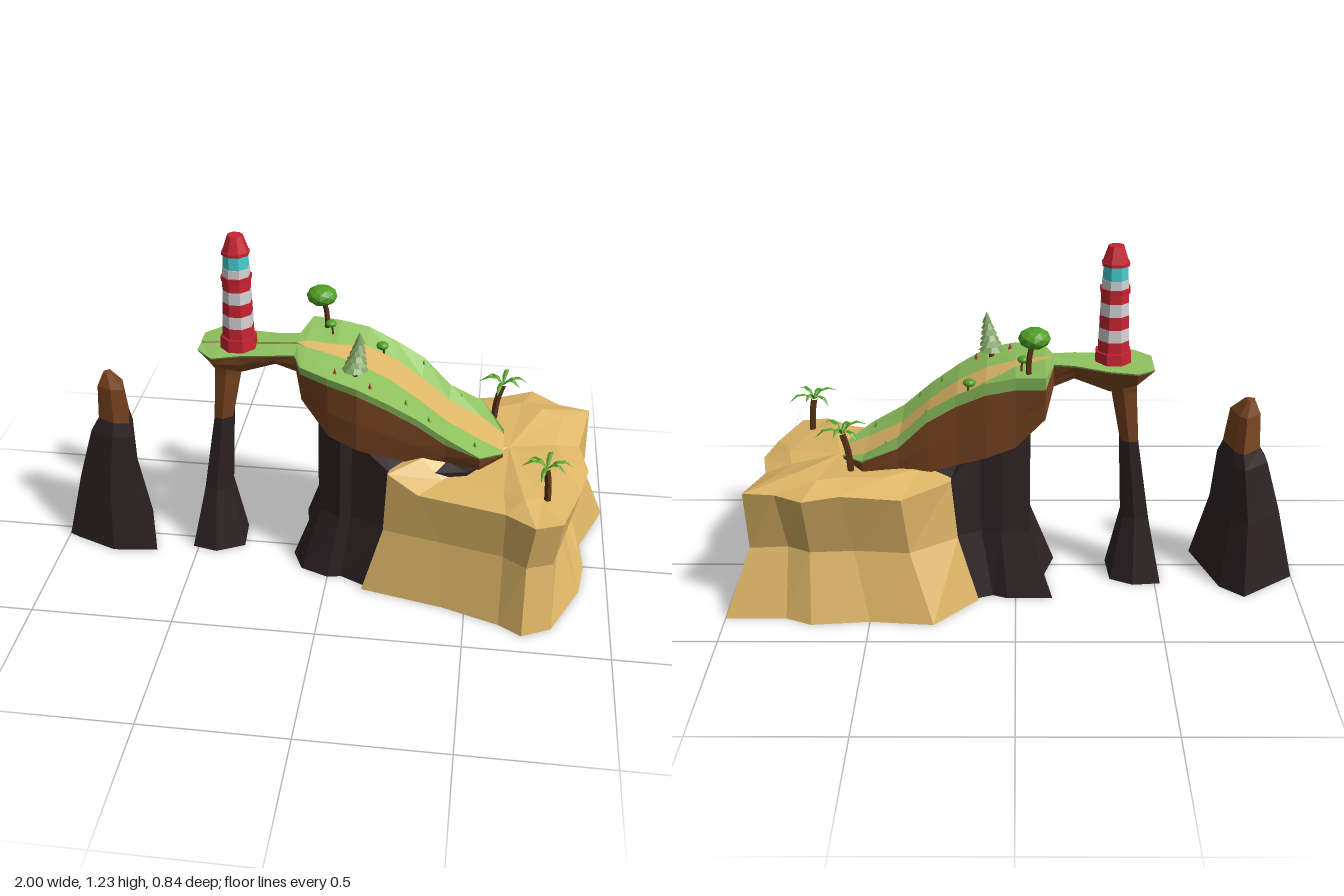
import * as THREE from 'three';

const mat = (name, color, side = THREE.FrontSide) =>
  Object.assign(new THREE.MeshStandardMaterial({ color, flatShading: true, side }), { name });
const D = THREE.DoubleSide;
const M = {
  sand: mat('sand', 0xdeb667, D), grass: mat('grass', 0x8fc25f, D),
  brown: mat('brown rock', 0x7a4521, D), dark: mat('dark rock', 0x2d2224, D),
  red: mat('red paint', 0xc92432), white: mat('white paint', 0xd4d4d6),
  glass: mat('lantern glass', 0x45cdd2), leaf: mat('leaf green', 0x4f9e22, D),
  pine: mat('pine green', 0x7d9f5f), bark: mat('bark', 0x5a3417),
};

const mesh = (name, geo, material, x = 0, y = 0, z = 0) => {
  const m = new THREE.Mesh(geo, material);
  m.name = name;
  m.position.set(x, y, z);
  return m;
};

// Surface through rows of [x, y, z] points; optionally closed around, with fan caps
function loft(rows, { closed = false, start = false, end = false } = {}) {
  const pos = [];
  const tri = (...pts) => pts.forEach((p) => pos.push(...p));
  const n = rows[0].length;
  for (let i = 0; i < rows.length - 1; i++) {
    for (let j = 0; j < (closed ? n : n - 1); j++) {
      const k = (j + 1) % n, a = rows[i], b = rows[i + 1];
      tri(a[j], a[k], b[k]);
      tri(a[j], b[k], b[j]);
    }
  }
  const cap = (r, flip) => {
    const c = [0, 1, 2].map((d) => r.reduce((s, p) => s + p[d], 0) / n);
    r.forEach((p, j) => (flip ? tri(c, r[(j + 1) % n], p) : tri(c, p, r[(j + 1) % n])));
  };
  if (start) cap(rows[0], true);
  if (end) cap(rows[rows.length - 1], false);
  const g = new THREE.BufferGeometry();
  g.setAttribute('position', new THREE.Float32BufferAttribute(pos, 3));
  g.computeVertexNormals();
  return g;
}

// Rock column: one outline scaled about a drifting centre; dark below, brown above, open underneath
function rockColumn(name, outline, [ox, oz], levels, split) {
  const g = new THREE.Group();
  g.name = name;
  const rows = levels.map(([y, cx, sx, sz]) =>
    outline.map(([x, z]) => [cx + (x - ox) * sx, y, oz + (z - oz) * sz]));
  g.add(mesh('lowerRock', loft(rows.slice(0, split + 1), { closed: true }), M.dark));
  g.add(mesh('upperRock', loft(rows.slice(split), { closed: true, end: true }), M.brown));
  return g;
}

// Ridge stations: x, back z, front z, back y, middle y, front y, underside y, path back z, path front z
const RIDGE = [
  [-0.47, -0.10, 0.03, 0.82, 0.82, 0.82, 0.80, -0.03, -0.03],
  [-0.41, -0.15, 0.09, 0.825, 0.825, 0.82, 0.77, -0.03, -0.03],
  [-0.32, -0.13, 0.06, 0.825, 0.825, 0.82, 0.74, -0.03, -0.03],
  [-0.20, -0.10, 0.05, 0.835, 0.835, 0.825, 0.775, -0.03, -0.03],
  [-0.13, -0.10, 0.04, 0.84, 0.84, 0.825, 0.745, -0.03, -0.03],
  [-0.10, -0.23, 0.12, 0.845, 0.84, 0.825, 0.68, -0.05, -0.01],
  [0.00, -0.22, 0.17, 0.84, 0.82, 0.815, 0.57, -0.07, 0.00],
  [0.10, -0.22, 0.185, 0.82, 0.79, 0.79, 0.53, -0.13, 0.01],
  [0.20, -0.21, 0.17, 0.775, 0.74, 0.735, 0.50, -0.14, 0.01],
  [0.30, -0.21, 0.15, 0.715, 0.67, 0.67, 0.47, -0.14, 0.01],
  [0.40, -0.20, 0.13, 0.615, 0.585, 0.59, 0.46, -0.14, 0.00],
  [0.52, -0.23, 0.13, 0.54, 0.525, 0.52, 0.45, -0.14, 0.01],
  [0.60, -0.10, 0.04, 0.50, 0.49, 0.49, 0.45, -0.09, 0.02],
];

function ridge() {
  const g = new THREE.Group();
  g.name = 'ridge';
  const back = [], path = [], front = [], rock = [];
  for (const [x, zb, zf, yb, ym, yf, yu, pb, pf] of RIDGE) {
    const P = [x, ym, pb], Q = [x, ym - 0.004, pf];
    // turf lip hanging over each edge
    const wide = x > -0.11 && x < 0.45;
    const B = [x, yb - (wide ? 0.045 : 0.008), zb + 0.006], F = [x, yf - (wide ? 0.03 : 0.008), zf - 0.006];
    back.push([B, [x, yb, zb], P]);
    path.push([P, Q]);
    front.push([Q, [x, yf, zf], F]);
    // overhanging flank, undercut towards the bottom
    const w = yu + (F[1] - yu) * 0.5, wb = yu + (B[1] - yu) * 0.5, inset = 0.035;
    rock.push([B, [x, wb, zb + 0.02], [x, yu, zb + inset], [x, yu, zf - inset], [x, w, zf - 0.015], F]);
  }
  g.add(mesh('backGrass', loft(back), M.grass), mesh('frontGrass', loft(front), M.grass));
  g.add(mesh('sandPath', loft(path.slice(4)), M.sand));
  g.add(mesh('brownFlanks', loft(rock, { start: true, end: true }), M.brown));
  return g;
}

// Ribbed dark rock under the ridge, open underneath
function headland() {
  const base = [[-0.13, -0.23], [-0.10, -0.08], [-0.14, 0.05], [-0.10, 0.14], [0, 0.18], [0.05, 0.17], [0.15, 0.22],
    [0.52, 0.20], [0.70, 0], [0.55, -0.22], [0.15, -0.235], [0.08, -0.21], [0.03, -0.23]];
  const waist = [[-0.05, -0.18], [-0.03, -0.07], [-0.05, 0.03], [-0.03, 0.10], [0.04, 0.14], [0.08, 0.13], [0.22, 0.185],
    [0.48, 0.14], [0.60, 0], [0.48, -0.18], [0.22, -0.215], [0.12, -0.17], [0.05, -0.19]];
  const rows = [base.map(([x, z]) => [x, 0, z]), waist.map(([x, z]) => [x, 0.24, z]),
    waist.map(([x, z]) => [x, x < 0 ? 0.63 : x < 0.15 ? 0.56 : 0.46, z * 0.93])];
  return mesh('darkHeadland', loft(rows, { closed: true, end: true }), M.dark);
}

function beach() {
  // base x, z | waist x, z | rim x, z, y
  const pts = [
    [0.13, 0.235, 0.20, 0.20, 0.21, 0.185, 0.465], [0.42, 0.30, 0.40, 0.245, 0.32, 0.235, 0.42],
    [0.62, 0.37, 0.62, 0.30, 0.62, 0.31, 0.42], [0.70, 0.42, 0.70, 0.355, 0.72, 0.38, 0.42],
    [0.80, 0.37, 0.79, 0.32, 0.81, 0.35, 0.425], [0.90, 0.15, 0.81, 0.15, 0.87, 0.16, 0.43],
    [0.92, 0, 0.81, -0.08, 0.90, 0.02, 0.43], [0.91, -0.13, 0.84, -0.12, 0.87, -0.12, 0.44],
    [1.00, -0.36, 0.91, -0.29, 0.91, -0.33, 0.47], [0.79, -0.36, 0.78, -0.28, 0.80, -0.35, 0.475],
    [0.70, -0.40, 0.70, -0.32, 0.70, -0.42, 0.485], [0.50, -0.38, 0.55, -0.31, 0.58, -0.37, 0.48],
    [0.28, -0.40, 0.36, -0.325, 0.38, -0.36, 0.46], [0.13, -0.24, 0.20, -0.22, 0.22, -0.22, 0.46],
  ];
  const rim = pts.map((p) => [p[4], p[6], p[5]]);
  const inner = rim.map(([x, y, z], i) =>
    [0.58 + (x - 0.58) * 0.7, y + (i % 3 ? 0.02 : 0.035), -0.02 + (z + 0.02) * 0.7]);
  const g = new THREE.Group();
  g.name = 'beach';
  const walls = [pts.map((p) => [p[0], 0, p[1]]), pts.map((p) => [p[2], 0.24, p[3]]), rim];
  g.add(mesh('sandCliff', loft(walls), M.sand));
  g.add(mesh('sandTop', loft([rim, inner], { closed: true, end: true }), M.sand));
  return g;
}

function lighthouse() {
  const g = new THREE.Group();
  g.name = 'lighthouse';
  const part = (name, m, y0, y1, r0, r1) => {
    const p = mesh(name, new THREE.CylinderGeometry(r1, r0, y1 - y0, 8), m, 0, (y0 + y1) / 2, 0);
    p.rotation.y = Math.PI / 8;
    g.add(p);
  };
  part('plinth', M.red, 0.815, 0.865, 0.066, 0.063);
  const cuts = [0.865, 0.905, 0.95, 0.995, 1.04, 1.085, 1.12];
  const r = (y) => 0.056 - (y - 0.865) * 0.035;
  for (let i = 0; i < 6; i++)
    part('towerBand', i % 2 ? M.white : M.red, cuts[i], cuts[i + 1], r(cuts[i]), r(cuts[i + 1]));
  part('galleryRing', M.red, 1.072, 1.09, 0.053, 0.054);
  part('lantern', M.glass, 1.12, 1.172, 0.045, 0.043);
  part('roofLip', M.red, 1.167, 1.178, 0.049, 0.049);
  part('roof', M.red, 1.178, 1.233, 0.046, 0.027);
  g.position.set(-0.333, 0, -0.02);
  return g;
}

const trunk = (pts, r) => mesh('trunk', new THREE.TubeGeometry(
  new THREE.CatmullRomCurve3(pts.map((p) => new THREE.Vector3(...p))), 5, r, 5), M.bark);

function plant(name, x, y, z, ...parts) {
  const g = new THREE.Group();
  g.name = name;
  g.position.set(x, y, z);
  return g.add(...parts);
}

function palm(x, y, z, h, lean) {
  const g = plant('palm', x, y, z, trunk([[0, -0.03, 0], [lean * 0.3, h * 0.5, 0], [lean, h, 0]], 0.012));
  const frond = loft([[0, 0, 0.003], [0.03, 0.028, 0.009], [0.06, 0.03, 0.009], [0.09, 0.006, 0.001]]
    .map(([r, up, w]) => [[r, up - w * 0.4, -w], [r, up, 0], [r, up - w * 0.4, w]]));
  for (let i = 0; i < 6; i++) {
    const f = mesh('frond', frond, M.leaf, lean, h, 0);
    f.rotation.set(0, (i / 6) * Math.PI * 2 + 0.3, i % 2 ? 0.2 : -0.1);
    f.scale.setScalar(i % 3 ? 0.9 : 1);
    g.add(f);
  }
  return g;
}

function roundTree(name, x, y, z, h, r) {
  const crown = mesh('crown', new THREE.IcosahedronGeometry(r, 1), M.leaf, -0.13 * h, h, 0.05 * h);
  crown.scale.y = 0.65;
  return plant(name, x, y, z, trunk([[0, -0.02, 0], [0, h * 0.45, 0], [-0.12 * h, h, 0.04 * h]], r * 0.18), crown);
}

function pineTree(x, y, z) {
  const g = plant('pine', x, y, z, trunk([[0, -0.03, 0], [0, 0.02, 0], [0, 0.05, 0]], 0.01));
  for (let i = 0; i < 6; i++) {
    const c = mesh('pineTier', new THREE.ConeGeometry(0.045 - i * 0.0055, 0.04, 8), M.pine, i * 0.003, 0.035 + i * 0.02, 0);
    c.rotation.y = i * 0.4;
    g.add(c);
  }
  return g;
}

export function createModel() {
  const model = new THREE.Group();
  model.name = 'rockyCoast';
  // Free-standing rock and the leg of the arch
  model.add(rockColumn('seaStack',
    [[-1, -0.08], [-1, 0.04], [-0.96, 0.06], [-0.81, 0.12], [-0.65, 0.10], [-0.73, -0.15], [-0.81, -0.22]], [-0.81, -0.02],
    [[0, -0.81, 1, 1], [0.26, -0.815, 0.66, 0.7], [0.45, -0.797, 0.47, 0.52], [0.50, -0.792, 0.34, 0.4],
      [0.63, -0.798, 0.28, 0.3], [0.68, -0.813, 0.09, 0.1]], 3));
  model.add(rockColumn('archLeg',
    [[-0.52, -0.13], [-0.52, 0.06], [-0.43, 0.08], [-0.33, 0.03], [-0.34, -0.10], [-0.42, -0.14]], [-0.425, -0.03],
    [[0, -0.425, 1, 1], [0.24, -0.425, 0.5, 0.55], [0.54, -0.395, 0.33, 0.45], [0.73, -0.37, 0.45, 0.6], [0.79, -0.36, 0.55, 0.7]], 2));
  model.add(ridge(), headland(), beach(), lighthouse());
  // Planting
  model.add(roundTree('roundTree', -0.045, 0.83, -0.17, 0.13, 0.054));
  model.add(roundTree('sapling', -0.02, 0.825, -0.13, 0.045, 0.02));
  model.add(roundTree('sapling', 0.16, 0.755, -0.14, 0.035, 0.022));
  model.add(pineTree(0.085, 0.803, 0.095));
  model.add(palm(0.56, 0.50, -0.20, 0.13, 0.025), palm(0.755, 0.465, 0.235, 0.10, -0.012));
  // Small tufts and red flowers scattered over the grass
  [[0.02, 0.82, 0.12], [0.14, 0.778, 0.13], [0.26, 0.705, 0.10], [0.34, 0.645, 0.10],
    [0.30, 0.705, -0.19], [0.44, 0.582, -0.18], [0.50, 0.54, 0.07]].forEach(([x, y, z], i) =>
    model.add(mesh(i < 2 ? 'flower' : 'tuft', new THREE.ConeGeometry(0.007, 0.022, 5), i < 2 ? M.red : M.leaf, x, y, z)));
  return model;
}
